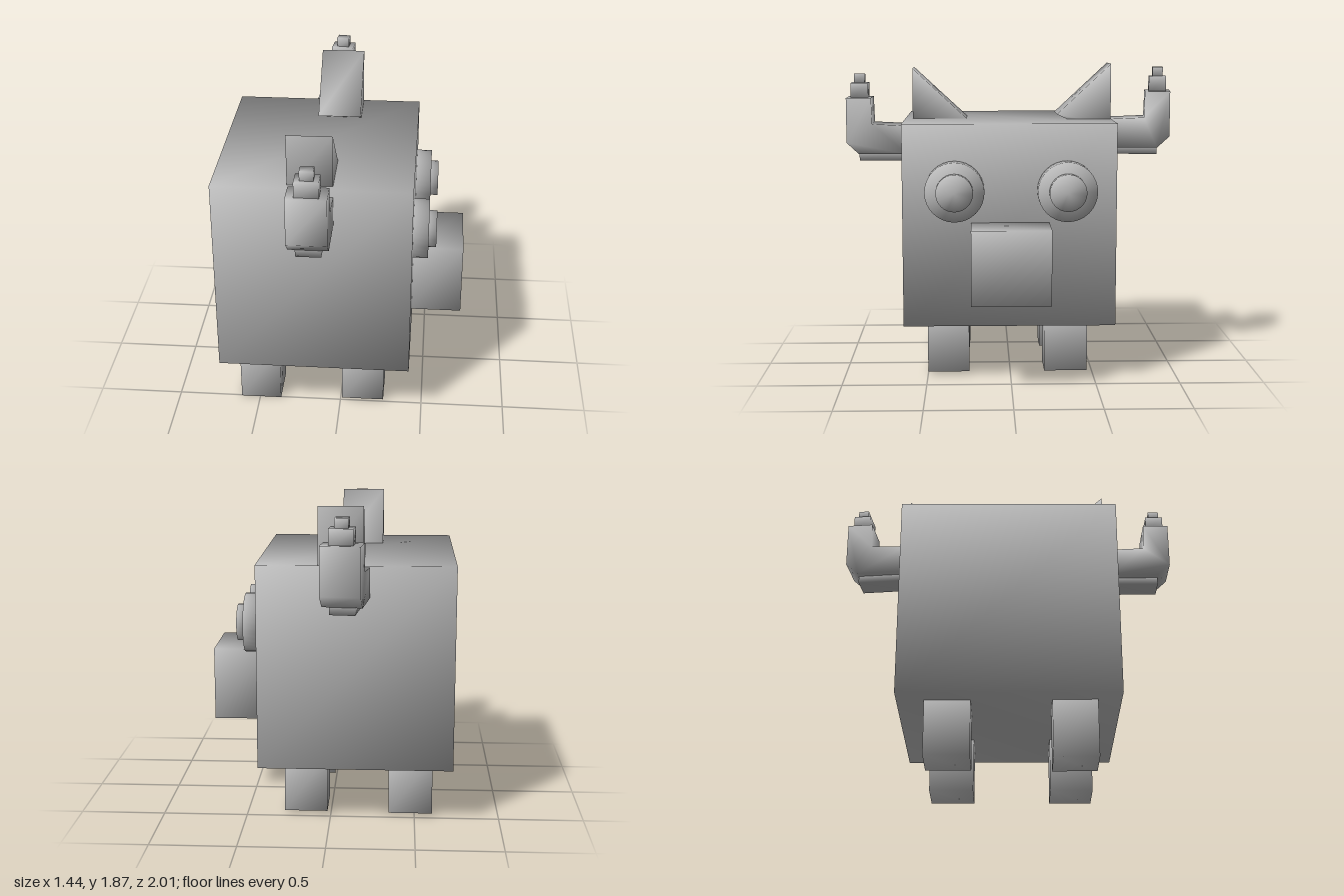
import * as THREE from 'three';
import { mergeVertices } from 'three/addons/utils/BufferGeometryUtils.js';

const grey = new THREE.MeshStandardMaterial({ color: 0xbcbcbc });
grey.name = 'grey';

// Share corners so the normals run smoothly over every edge
function soften(geometry) {
  geometry.deleteAttribute('normal');
  geometry.deleteAttribute('uv');
  geometry.clearGroups();
  const merged = mergeVertices(geometry, 1e-4);
  merged.computeVertexNormals();
  return merged;
}

function addPart(parent, name, geometry) {
  const mesh = new THREE.Mesh(soften(geometry), grey);
  mesh.name = name;
  parent.add(mesh);
  return mesh;
}

// Block given by its limits on each axis
function block(x0, x1, y0, y1, z0, z1) {
  return new THREE.BoxGeometry(x1 - x0, y1 - y0, z1 - z0)
    .translate((x0 + x1) / 2, (y0 + y1) / 2, (z0 + z1) / 2);
}

// Side profile of [z, y] points, extruded from x0 to x1
function profile(points, x0, x1) {
  const shape = new THREE.Shape(points.map(([z, y]) => new THREE.Vector2(z, y)));
  return new THREE.ExtrudeGeometry(shape, { depth: x1 - x0, bevelEnabled: false })
    .rotateY(-Math.PI / 2).translate(x1, 0, 0);
}

// Round plate facing +x
function disc(radius, x0, x1, y, z) {
  return new THREE.CylinderGeometry(radius, radius, x1 - x0, 32)
    .rotateZ(-Math.PI / 2).translate((x0 + x1) / 2, y, z);
}

// Bent horn with a stepped tip, centred on x = 0, pointing to the given side
function makeHorn(name, side) {
  const horn = new THREE.Group();
  horn.name = name;
  const zBlock = (w, y0, y1, z0, z1) =>
    block(-w, w, y0, y1, Math.min(side * z0, side * z1), Math.max(side * z0, side * z1));
  const bend = [[0.63, 1.315], [0.925, 1.315], [1, 1.385], [1, 1.66],
    [0.847, 1.66], [0.842, 1.5], [0.63, 1.49]].map(([z, y]) => [side * z, y]);
  addPart(horn, 'hornBend', profile(bend, -0.113, 0.113));
  addPart(horn, 'hornUnderside', zBlock(0.072, 1.272, 1.34, 0.63, 0.925));
  addPart(horn, 'hornStep', zBlock(0.068, 1.64, 1.75, 0.87, 0.975));
  addPart(horn, 'hornTip', zBlock(0.038, 1.73, 1.805, 0.892, 0.955));
  return horn;
}

export function createModel() {
  const model = new THREE.Group();
  model.name = 'boxyCow';

  addPart(model, 'body', block(-0.72, 0.42, 0.335, 1.535, -0.62, 0.637));
  addPart(model, 'snout', block(0.4, 0.72, 0.52, 0.955, -0.225, 0.235));

  // Eyes
  for (const [side, z] of [['left', -0.327], ['right', 0.33]]) {
    addPart(model, side + 'Eye', disc(0.174, 0.4, 0.51, 1.145, z));
    addPart(model, side + 'Pupil', disc(0.108, 0.49, 0.555, 1.145, z));
  }

  // Legs
  const legs = [
    ['frontRightLeg', 0.01, 0.265, 0.015, 0.25, 0.5],
    ['frontLeftLeg', 0.02, 0.275, 0.02, -0.465, -0.205],
    ['backRightLeg', -0.615, -0.37, 0, 0.25, 0.505],
    ['backLeftLeg', -0.605, -0.345, 0.015, -0.465, -0.205],
  ];
  for (const [name, x0, x1, y0, z0, z1] of legs) {
    addPart(model, name, block(x0, x1, y0, 0.36, z0, z1));
  }

  // Wedge ears
  addPart(model, 'rightEar', profile(
    [[0.592, 1.84], [0.592, 1.51], [0.3, 1.51], [0.262, 1.535]], -0.29, -0.03));
  addPart(model, 'leftEar', profile(
    [[-0.615, 1.87], [-0.288, 1.565], [-0.4, 1.512], [-0.615, 1.5]], -0.195, 0.065));

  // Horns
  const rightHorn = makeHorn('rightHorn', 1);
  rightHorn.position.x = -0.139;
  const leftHorn = makeHorn('leftHorn', -1);
  leftHorn.rotation.y = -0.11;
  leftHorn.position.set(-0.188, 0.041, 0);
  model.add(rightHorn, leftHorn);

  return model;
}
